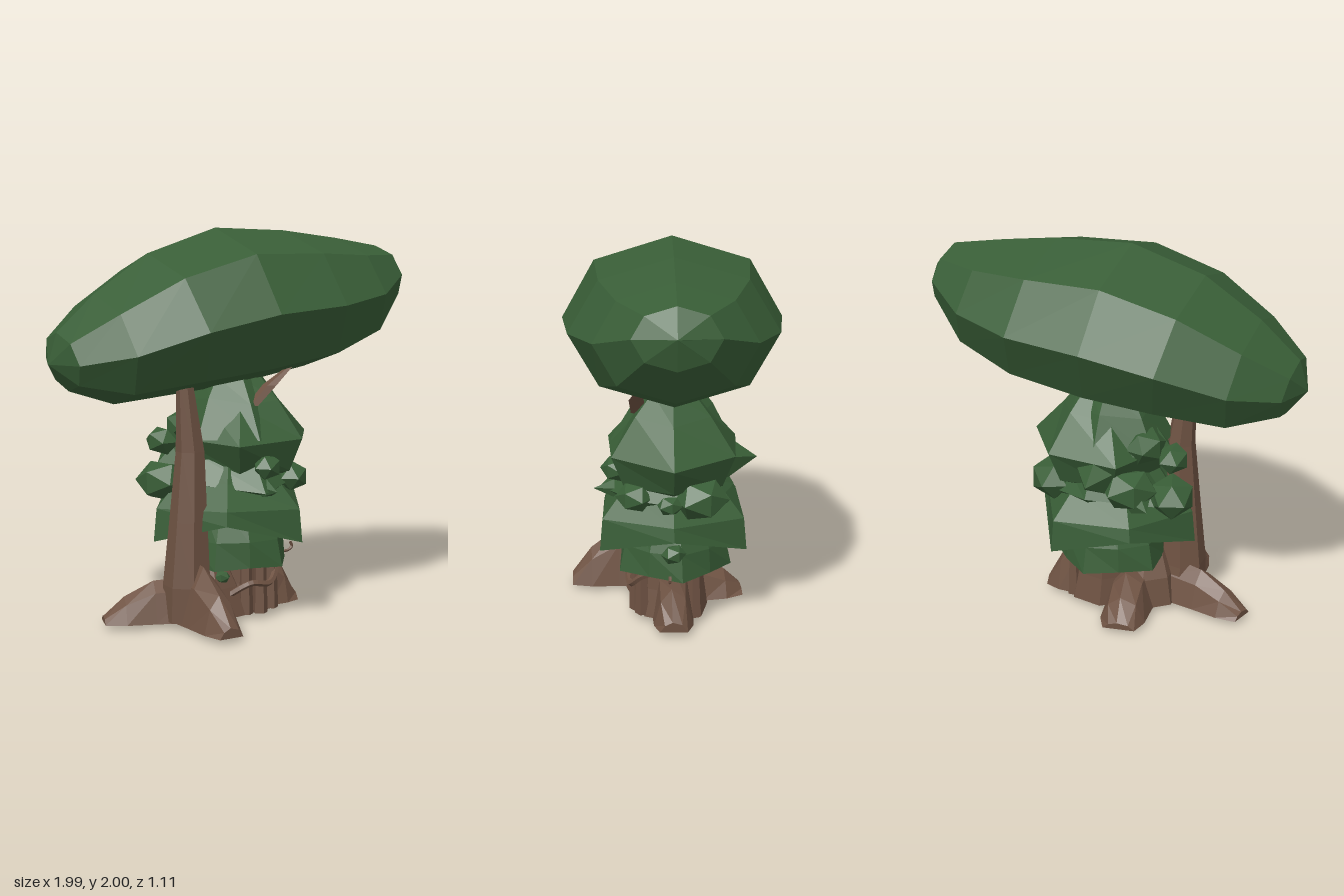
import * as THREE from 'three';

const leaf = new THREE.MeshStandardMaterial({ color: 0x395e37, flatShading: true, side: THREE.DoubleSide });
const bark = new THREE.MeshStandardMaterial({ color: 0x6f5343, flatShading: true, side: THREE.DoubleSide });

// Skin a series of equal-length closed rings, with optional end caps
function loft(rings, capped = true) {
  const n = rings[0].length, pos = [], idx = [];
  rings.forEach(r => r.forEach(p => pos.push(...p)));
  for (let i = 0; i < rings.length - 1; i++) {
    for (let j = 0; j < n; j++) {
      const a = i * n + j, b = i * n + (j + 1) % n;
      idx.push(a, b, a + n, b, b + n, a + n);
    }
  }
  const cap = (ring, base, flip) => {
    const c = pos.length / 3;
    pos.push(...[0, 1, 2].map(k => ring.reduce((s, p) => s + p[k], 0) / n));
    for (let j = 0; j < n; j++) {
      const a = base + j, b = base + (j + 1) % n;
      if (flip) idx.push(c, b, a); else idx.push(c, a, b);
    }
  };
  if (capped) {
    cap(rings[0], 0, true);
    cap(rings[rings.length - 1], (rings.length - 1) * n, false);
  }
  const g = new THREE.BufferGeometry();
  g.setAttribute('position', new THREE.Float32BufferAttribute(pos, 3));
  g.setIndex(idx);
  g.computeVertexNormals();
  return g;
}

// Horizontal ring: odd corners can be pulled in and dropped to make a jagged rim
function ring(x, y, z, r, n, pull = 0, drop = 0, turn = 0) {
  return Array.from({ length: n }, (_, j) => {
    const a = Math.PI / 2 + turn + (j / n) * Math.PI * 2, odd = j % 2;
    const rr = r * (1 - pull * odd);
    return [x + rr * Math.sin(a), y - drop * odd, z + rr * Math.cos(a)];
  });
}

export function createModel() {
  const model = new THREE.Group();
  const add = (name, geometry, material, parent = model) => {
    const m = new THREE.Mesh(geometry, material);
    m.name = name;
    parent.add(m);
    return m;
  };
  const group = name => {
    const g = new THREE.Group();
    g.name = name;
    model.add(g);
    return g;
  };

  // Tilted canopy: top x, top y, bottom x, bottom y, half depth
  const stations = [
    [-0.995, 1.36, -0.995, 1.355, 0.005], [-0.95, 1.51, -0.89, 1.22, 0.21],
    [-0.75, 1.69, -0.65, 1.14, 0.39], [-0.46, 1.88, -0.3, 1.17, 0.515],
    [-0.08, 2.0, 0.05, 1.2, 0.555], [0.32, 1.98, 0.45, 1.27, 0.515],
    [0.64, 1.935, 0.76, 1.39, 0.39], [0.89, 1.89, 0.95, 1.6, 0.21],
    [0.995, 1.765, 0.995, 1.76, 0.005],
  ];
  add('canopy', loft(stations.map(([tx, ty, bx, by, d]) =>
    Array.from({ length: 8 }, (_, j) => {
      const c = Math.cos(j * Math.PI / 4), s = Math.sin(j * Math.PI / 4);
      return [(tx + bx) / 2 + c * (tx - bx) / 2, (ty + by) / 2 + c * (ty - by) / 2, s * d];
    }))), leaf);

  // Slim tall trunk and the stump inside the bush: x, y, z, radius
  const trunk = rows => loft(rows.map(([x, y, z, r]) => ring(x, y, z, r, 7)));
  add('tallTrunk', trunk([
    [-0.31, 0.04, 0.14, 0.14], [-0.32, 0.22, 0.15, 0.125], [-0.31, 0.55, 0.15, 0.1],
    [-0.3, 0.9, 0.15, 0.075], [-0.33, 1.23, 0.15, 0.045]]), bark);
  add('bushTrunk', trunk([
    [0.07, 0.03, 0, 0.19], [0.06, 0.18, 0, 0.17], [0.05, 0.4, 0, 0.16], [0.03, 1.0, 0, 0.1]]), bark);
  add('baseBridge', trunk([[-0.14, 0.03, 0.05, 0.2], [-0.15, 0.18, 0.05, 0.16], [-0.16, 0.34, 0.07, 0.08]]), bark);
  const foot = add('foot', new THREE.BoxGeometry(0.19, 0.06, 0.16), bark);
  foot.position.set(0.09, 0.035, 0);

  // Spreading roots: start x, z, tip x, z, half width, height
  const roots = group('roots');
  [
    [-0.3, 0.1, -0.71, -0.02, 0.11, 0.21],
    [-0.3, 0.12, -0.28, 0.54, 0.11, 0.32],
    [-0.1, 0, -0.15, -0.37, 0.14, 0.22],
    [0.06, 0, 0.38, 0, 0.12, 0.34],
  ].forEach(([x0, z0, x1, z1, w, h]) => {
    const len = Math.hypot(x1 - x0, z1 - z0), dx = (x1 - x0) / len, dz = (z1 - z0) / len;
    const rows = [[0, 1, 1], [0.4, 0.9, 0.95], [0.75, 0.85, 0.6], [1, 0.6, 0.16]];
    add('root', loft(rows.map(([t, kw, kh]) =>
      [[1, 0], [0.6, 0.75], [-0.1, 1], [-0.65, 0.65], [-1, 0]].map(([s, u]) => [
        x0 + dx * len * t + dz * s * w * kw, 0.03 + u * h * kh, z0 + dz * len * t - dx * s * w * kw,
      ]))), bark, roots);
  });

  // Upright bark slabs around the stump
  const slabs = group('barkSlabs');
  [[0.08, 0.19], [0.16, 0.16], [0, 0.18], [0.2, -0.11]].forEach(([x, z], i) => {
    const s = add('barkSlab', new THREE.CylinderGeometry(0.03, 0.04, 0.28 - 0.02 * (i % 2), 5), bark, slabs);
    s.position.set(x, 0.17, z);
  });

  // Shaggy layered bush: each layer is rows of radius, y, pull, drop
  const bush = group('bush');
  const layer = (name, x, n, turn, rows) => add(name, loft(
    rows.map(([r, y, pull, drop]) => ring(x, y, 0, r, n, pull, drop, turn)), false), leaf, bush);
  layer('lowerFringe', 0.02, 10, 0.15, [[0.31, 0.28, 0.12, -0.01], [0.28, 0.42, 0.06, 0], [0.2, 0.6, 0, 0]]);
  layer('skirt', 0, 6, 0, [[0.415, 0.54, -0.05, 0.12], [0.395, 0.61, -0.06, 0.02], [0.29, 0.73, 0, 0], [0.2, 0.86, 0, 0]]);
  layer('middleTier', 0.03, 6, 0.45, [[0.25, 0.66, 0, 0], [0.38, 0.69, 0.16, -0.03], [0.25, 0.84, 0, 0]]);
  layer('crown', 0.07, 6, 0, [[0.22, 0.74, 0, 0], [0.29, 0.78, 0, 0.01], [0.385, 0.93, 0.06, -0.01],
    [0.22, 1.11, 0, -0.02], [0.12, 1.24, 0, 0]]);
  layer('crownTop', 0.01, 6, 0.5, [[0.32, 0.95, 0.04, 0], [0.22, 1.12, 0.06, -0.03],
    [0.13, 1.25, 0, 0], [0.005, 1.265, 0, 0]]);

  // Leaf clumps: x, y, z, radius
  const clumps = group('leafClumps');
  [
    [0.3, 0.73, -0.14, 0.13], [0.36, 0.72, 0.02, 0.06], [0.06, 0.81, 0.29, 0.08],
    [0.26, 0.73, 0.2, 0.09], [-0.34, 0.92, -0.09, 0.09], [-0.34, 0.71, -0.1, 0.13],
    [-0.16, 0.78, -0.24, 0.13], [-0.2, 0.98, -0.12, 0.11],
    [0.3, 0.43, 0, 0.06], [-0.14, 0.24, 0.18, 0.04],
  ].forEach(([x, y, z, r], i) => {
    const c = add('leafClump', new THREE.IcosahedronGeometry(r, 0), leaf, clumps);
    c.position.set(x, y, z);
    c.rotation.y = Math.atan2(x, z) + 0.3 * (i % 3);
    c.scale.set(1.15, 0.85, 0.95);
  });
  // Pointed tufts poking outward: x, y, z, radius, heading
  [[0, 0.85, -0.33, 0.16, 0], [0.05, 0.7, 0.3, 0.1, Math.PI], [-0.22, 0.72, -0.26, 0.12, 0.7]].forEach(([x, y, z, r, turn]) => {
    const t = add('leafTuft', new THREE.ConeGeometry(r, 0.22, 5), leaf, clumps);
    t.position.set(x, y, z);
    t.rotation.set(-Math.PI / 2, turn, 0, 'YXZ');
  });

  // Bare branch emerging from the crown
  add('branch', loft([[0.04, 1.11, 0.18, 0.035], [0.14, 1.21, 0.185, 0.04], [0.27, 1.3, 0.17, 0.015]]
    .map(([x, y, z, r]) => ring(x, y, z, r, 5))), bark);

  // Vine wound round the stump and a curled tendril
  const tube = (name, pts, r) => add(name, new THREE.TubeGeometry(
    new THREE.CatmullRomCurve3(pts.map(p => new THREE.Vector3(...p))), 20, r, 5), bark);
  tube('vine', [[-0.1, 0.14, 0.18], [0, 0.2, 0.23], [0.12, 0.19, 0.22], [0.19, 0.26, 0.16], [0.22, 0.3, 0.08]], 0.017);
  tube('tendril', [[0.22, 0.36, 0], [0.27, 0.31, 0.01], [0.33, 0.29, 0.02], [0.37, 0.31, 0.02], [0.36, 0.335, 0.02]], 0.008);

  return model;
}
